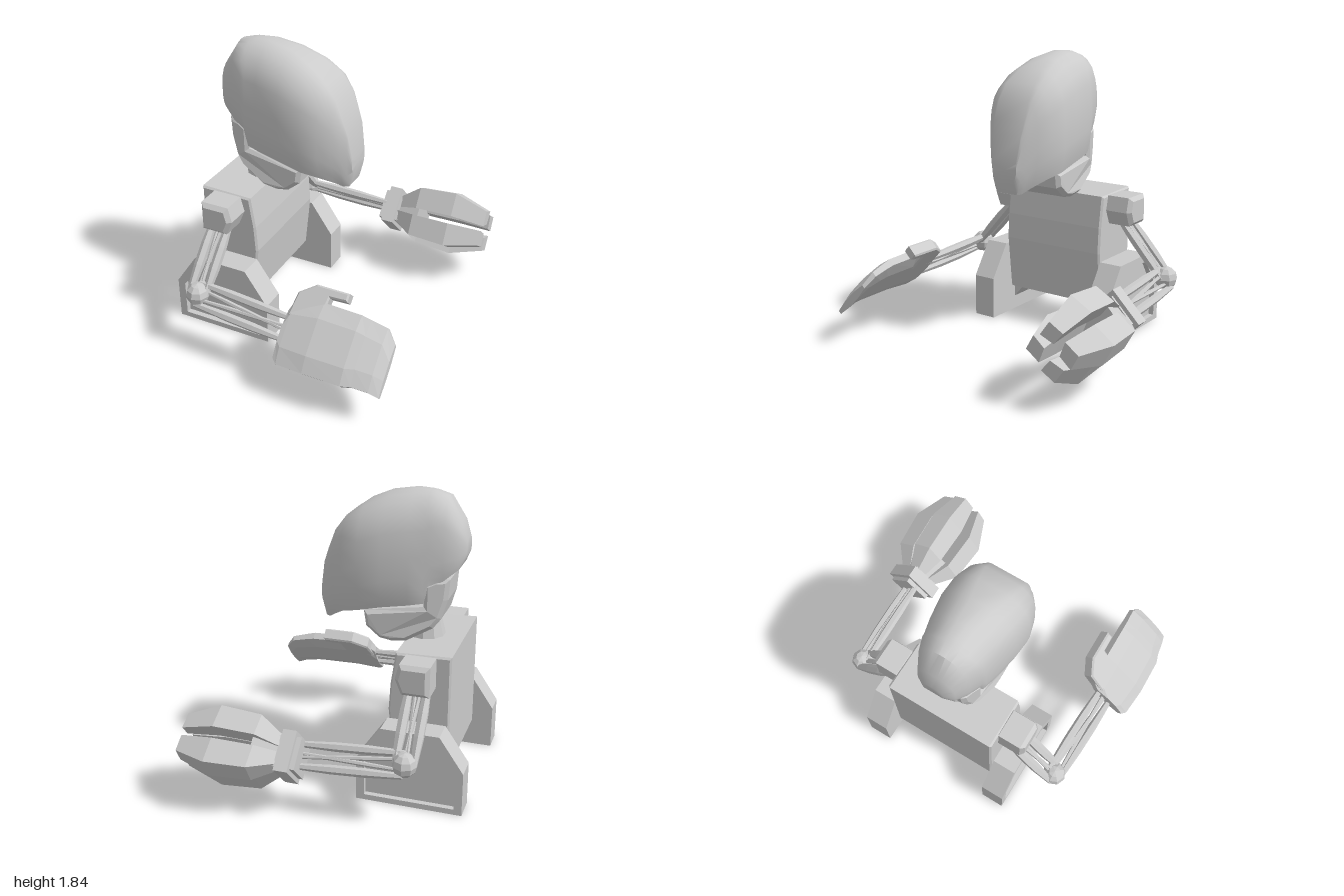
import * as THREE from 'three';
import { toCreasedNormals } from 'three/addons/utils/BufferGeometryUtils.js';

const smooth = new THREE.MeshStandardMaterial({ color: 0xcccccc });
const flat = new THREE.MeshStandardMaterial({ color: 0xcccccc, flatShading: true });
const MID = 0.037; // z of the body's plane of symmetry
const V = (x, y, z) => new THREE.Vector3(x, y, z);

function add(parent, name, geometry, material = flat) {
  const mesh = new THREE.Mesh(geometry, material);
  mesh.name = name;
  parent.add(mesh);
  return mesh;
}

// Side outline in x,y extruded symmetrically along z, with bevel kept inside the outline
function slab(points, depth, bevel = 0, hole = null) {
  const shape = new THREE.Shape(points.map(p => new THREE.Vector2(...p)));
  if (hole) shape.holes.push(new THREE.Path(hole.map(p => new THREE.Vector2(...p))));
  const geo = new THREE.ExtrudeGeometry(shape, {
    depth: depth - 2 * bevel, bevelEnabled: bevel > 0, bevelThickness: bevel,
    bevelSize: bevel, bevelOffset: -bevel, bevelSegments: 1,
  });
  return geo.translate(0, 0, bevel - depth / 2);
}

// Skin over rings of [x, y, z] points, stacked along +x, with closed ends
function loft(rings) {
  const n = rings[0].length, pos = rings.flat(2), index = [];
  for (let i = 0; i < rings.length - 1; i++) {
    for (let j = 0; j < n; j++) {
      const a = i * n + j, b = i * n + (j + 1) % n;
      index.push(a, b, b + n, a, b + n, a + n);
    }
  }
  [0, rings.length - 1].forEach(r => {
    const c = pos.length / 3;
    for (let k = 0; k < 3; k++) pos.push(rings[r].reduce((s, p) => s + p[k], 0) / n);
    for (let j = 0; j < n; j++) {
      const a = r * n + j, b = r * n + (j + 1) % n;
      index.push(c, r ? a : b, r ? b : a);
    }
  });
  const geo = new THREE.BufferGeometry();
  geo.setAttribute('position', new THREE.Float32BufferAttribute(pos, 3));
  geo.setIndex(index);
  return geo;
}

// Six-sided rod, thicker in the middle
function rod(parent, name, a, b, r) {
  const len = a.distanceTo(b);
  const profile = [[0, 0], [0.65 * r, 0], [r, 0.35], [r, 0.65], [0.65 * r, 1], [0, 1]]
    .map(([x, y]) => new THREE.Vector2(x, y * len));
  const mesh = add(parent, name, new THREE.LatheGeometry(profile, 6));
  mesh.position.copy(a);
  mesh.quaternion.setFromUnitVectors(V(0, 1, 0), b.clone().sub(a).normalize());
}

// Four-sided block along x, standing on its corner
function diamond(startRadius, endRadius, length) {
  return new THREE.CylinderGeometry(endRadius, startRadius, length, 4).rotateZ(-Math.PI / 2);
}

function makeHead() {
  const head = new THREE.Group();
  head.name = 'head';
  // x, top, bottom, half width, half width of the flat crest
  const stations = [
    [-0.7, 1.57, 1.47, 0.07, 0.01], [-0.665, 1.68, 1.39, 0.125, 0.015], [-0.58, 1.81, 1.32, 0.168, 0.02],
    [-0.5, 1.832, 1.28, 0.197, 0.025], [-0.47, 1.836, 1.18, 0.206, 0.025], [-0.38, 1.84, 1.165, 0.228, 0.03],
    [-0.22, 1.81, 1.145, 0.257, 0.045], [-0.08, 1.745, 1.115, 0.262, 0.08], [0.03, 1.665, 1.085, 0.235, 0.105],
    [0.1, 1.57, 1.035, 0.187, 0.11], [0.145, 1.45, 1.0, 0.148, 0.11], [0.175, 1.36, 1.0, 0.118, 0.105],
    [0.2, 1.2, 1.08, 0.092, 0.088],
  ];
  // height fraction, width fraction
  const section = [[1, 0], [0.975, 0.25], [0.92, 0.52], [0.82, 0.78], [0.68, 0.94], [0.45, 0.99], [0.25, 1], [0.1, 0.93], [0, 0.84]];
  const rings = stations.map(([x, top, bottom, half, crest]) => {
    // the visor narrows towards its lower tip
    const pinch = 0.36 * THREE.MathUtils.clamp(x / 0.14, 0, 1);
    const side = section.map(([t, w]) => [x, bottom + t * (top - bottom),
      (crest + w * (half - crest)) * (1 - pinch * (1 - t) ** 4)]);
    return [...side, ...side.map(([a, b, c]) => [a, b, -c]).reverse()];
  });
  add(head, 'helmet', toCreasedNormals(loft(rings), 0.7), smooth);

  const outline = [[-0.62, 1.33], [-0.61, 1.2], [-0.575, 1.08], [-0.53, 1.02], [-0.37, 0.93], [-0.28, 0.917],
    [-0.2, 0.93], [-0.115, 1.0], [-0.1, 1.1], [-0.472, 1.155], [-0.472, 1.3], [-0.54, 1.33]];
  const jaw = slab(outline, 0.39, 0.025);
  const p = jaw.attributes.position;
  // narrow the jaw towards the nape
  for (let i = 0; i < p.count; i++) p.setZ(i, p.getZ(i) * THREE.MathUtils.clamp(1 + 1.8 * (p.getX(i) + 0.45), 0.7, 1));
  add(head, 'jaw', jaw);

  const neck = add(head, 'neck', new THREE.CylinderGeometry(0.08, 0.12, 0.16, 10));
  neck.position.set(-0.46, 0.99, 0);
  head.position.z = MID;
  return head;
}

function makeLeg(s) {
  const leg = new THREE.Group();
  leg.name = s > 0 ? 'leftLeg' : 'rightLeg';
  const outline = [[-0.83, 0], [-0.17, 0], [-0.17, 0.28], [-0.32, 0.5], [-0.68, 0.5], [-0.83, 0.28]];
  const panel = [[-0.78, 0.035], [-0.22, 0.035], [-0.22, 0.265], [-0.345, 0.45], [-0.655, 0.45], [-0.78, 0.265]];
  add(leg, 'legCore', slab(outline, 0.12)).position.z = MID + s * 0.44;
  // raised rim around the sunken outer panel
  add(leg, 'legRim', slab(outline, 0.035, 0, panel)).position.z = MID + s * 0.5175;
  // wedge bracket under the torso
  const ring = x => {
    const pts = [[x, 0.2, 0.315], [x, 0.2, 0.39], [x, 0.08, 0.39], [x, 0.17, 0.315]];
    const r = pts.map(p => [p[0], p[1], MID + s * p[2]]);
    return s > 0 ? r : r.reverse();
  };
  add(leg, 'legBracket', loft([ring(-0.58), ring(-0.42)]));
  return leg;
}

function makeArm(s) {
  const arm = new THREE.Group();
  arm.name = s > 0 ? 'leftArm' : 'rightArm';
  const shoulder = [[-0.61, 0.735], [-0.44, 0.735], [-0.4, 0.83], [-0.425, 0.925], [-0.61, 0.925]];
  add(arm, 'shoulder', slab(shoulder, 0.2, 0.025)).position.z = MID + s * 0.445;

  const elbow = V(-0.53, 0.41, MID + s * 0.75);
  add(arm, 'elbow', new THREE.SphereGeometry(0.075, 8, 6)).position.copy(elbow);

  const top = V(-0.525, 0.77, MID + s * 0.43);
  const wrist = V(0.12, 0.375, MID + s * 0.773);
  for (const k of [-1, 1]) {
    // paired outer rods with thin rods between them
    const across = V(0.055 * k, 0, 0), tilt = V(0, 0.052 * k, -0.042 * k * s);
    rod(arm, 'upperArmRod', top.clone().add(across), elbow.clone().add(across), 0.032);
    rod(arm, 'upperArmBrace', top.clone().addScaledVector(across, 0.3), elbow.clone().addScaledVector(across, -0.2), 0.014);
    rod(arm, 'forearmRod', elbow.clone().add(tilt), wrist.clone().add(tilt), 0.028);
    rod(arm, 'forearmBrace', elbow.clone().addScaledVector(tilt, 0.5), wrist.clone().addScaledVector(tilt, -0.2), 0.014);
  }
  return arm;
}

// Flat closed hand, tilted outwards
function makeMitten() {
  const hand = new THREE.Group();
  hand.name = 'leftHand';
  // cross-sections along the hand: x, upper edge, lower edge, thickness, sideways bend
  const sections = [[0.09, 0.07, -0.22, 0.08, 0], [0.12, 0.15, -0.25, 0.09, 0], [0.3, 0.17, -0.255, 0.1, 0.015],
    [0.54, 0.165, -0.255, 0.095, 0.01], [0.6, 0.155, -0.24, 0.085, 0], [0.7, 0.14, -0.24, 0.07, -0.02],
    [0.76, 0.06, -0.25, 0.05, -0.045]];
  add(hand, 'palm', loft(sections.map(([x, hi, lo, t, b]) => [
    [x, hi, b - t * 0.25], [x, hi, b + t * 0.25], [x, hi - 0.1, b + t / 2], [x, lo + 0.1, b + t / 2],
    [x, lo, b + t * 0.25], [x, lo, b - t * 0.25], [x, lo + 0.1, b - t / 2], [x, hi - 0.1, b - t / 2],
  ])));
  const thumb = [[0.1, 0.04], [0.3, 0.04], [0.32, 0.205], [0.43, 0.21], [0.43, 0.262], [0.22, 0.262], [0.12, 0.19]];
  add(hand, 'thumb', slab(thumb, 0.085, 0.01));
  hand.position.set(0, 0.41, 0.795);
  hand.rotation.x = -0.8;
  return hand;
}

// Open gripper with four chunky fingers growing from the palm's corners
function makeGripper() {
  const hand = new THREE.Group();
  hand.name = 'rightHand';
  add(hand, 'wristCuff', diamond(0.14, 0.14, 0.13)).position.x = 0.145;
  add(hand, 'wristPlate', diamond(0.178, 0.178, 0.085)).position.x = 0.1525;
  add(hand, 'palm', diamond(0.12, 0.2, 0.17)).position.x = 0.275;
  // y, z corners of a finger at its widest, and its scale at each x
  const quad = [[0.257, 0.027], [0.129, 0.118], [0.075, -0.016], [0.182, -0.107]];
  const steps = [[0.19, 0.46], [0.34, 0.92], [0.6, 1], [0.82, 0.66]];
  const finger = loft(steps.map(([x, k]) => quad.map(([y, z]) => [x, y * k, z * k])));
  for (let i = 0; i < 4; i++) add(hand, 'finger', finger).rotation.x = i * Math.PI / 2;
  hand.position.set(0, 0.36, -0.744);
  return hand;
}

export function createModel() {
  const model = new THREE.Group();
  model.name = 'robot';
  const torso = [[-0.7, 0.935], [-0.7, 0.19], [-0.36, 0.19], [-0.32, 0.55], [-0.33, 0.72], [-0.36, 0.925]];
  add(model, 'torso', slab(torso, 0.74, 0.012)).position.z = MID;
  model.add(makeHead());
  for (const s of [1, -1]) model.add(makeLeg(s), makeArm(s));
  model.add(makeMitten(), makeGripper());
  return model;
}
